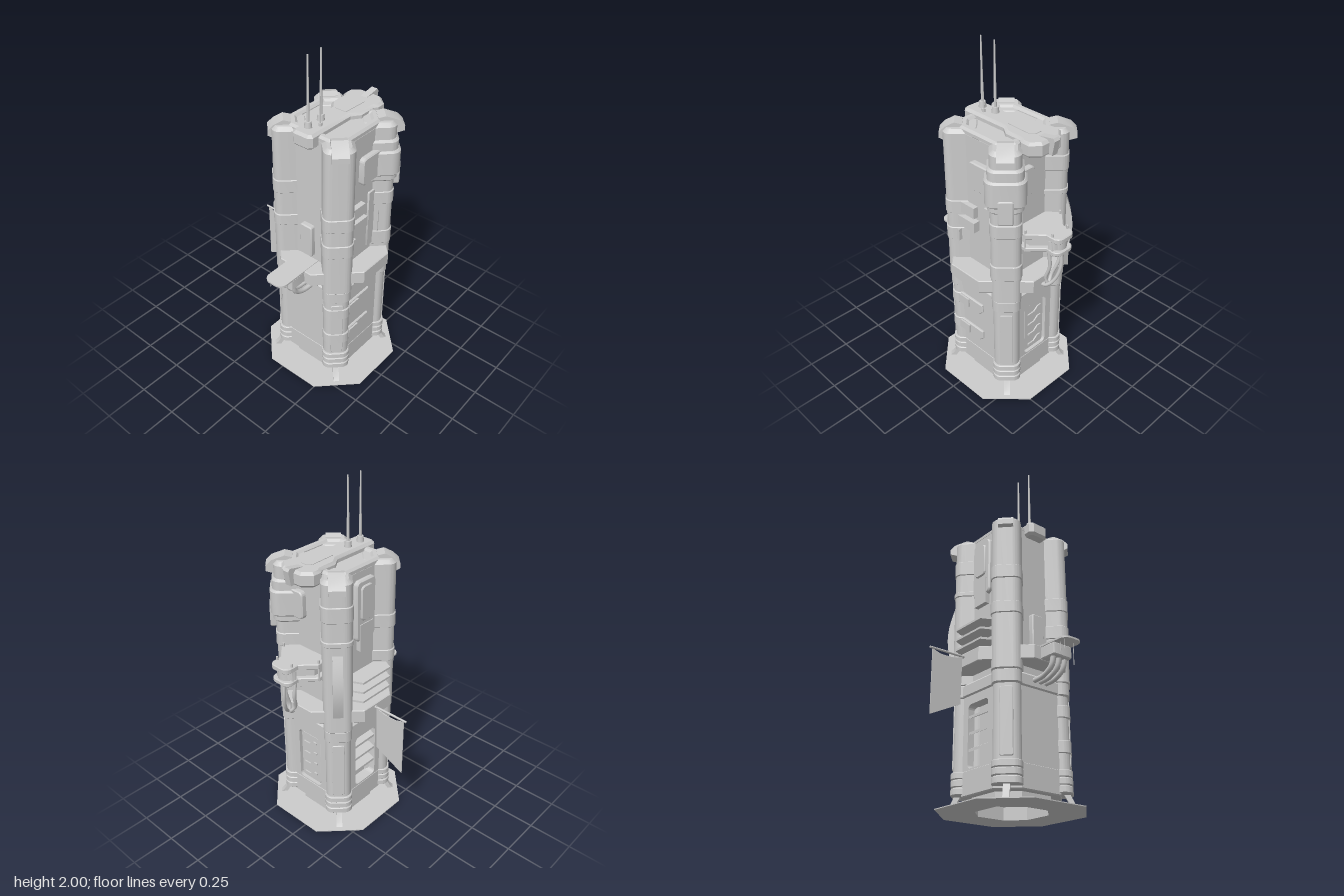
import * as THREE from 'three';
import { toCreasedNormals } from 'three/addons/utils/BufferGeometryUtils.js';

const mat = new THREE.MeshStandardMaterial({ color: 0xcccccc, side: THREE.DoubleSide });

function add(parent, name, geo) {
  const m = new THREE.Mesh(geo, mat);
  m.name = name;
  parent.add(m);
}
function group(parent, name, angle) {
  const g = new THREE.Group();
  g.name = name;
  g.rotation.y = angle;
  parent.add(g);
  return g;
}
const poly = pts => new THREE.Shape(pts.map(p => new THREE.Vector2(p[0], p[1])));
// Square with cut corners: a = distance to a face, h = half width of a face
const oct = (a, h) => poly([[h, a], [-h, a], [-a, h], [-a, -h], [-h, -a], [h, -a], [a, -h], [a, h]]);
function octRing(a, h, a2, h2) {
  const s = oct(a, h);
  s.holes.push(oct(a2, h2));
  return s;
}
function rounded(x0, y0, x1, y1, r) {
  const s = new THREE.Shape();
  s.absarc(x1 - r, y1 - r, r, 0, Math.PI / 2);
  s.absarc(x0 + r, y1 - r, r, Math.PI / 2, Math.PI);
  s.absarc(x0 + r, y0 + r, r, Math.PI, Math.PI * 1.5);
  s.absarc(x1 - r, y0 + r, r, Math.PI * 1.5, Math.PI * 2);
  s.closePath();
  return s;
}
function extrude(shape, depth, bevel) {
  return toCreasedNormals(new THREE.ExtrudeGeometry(shape, {
    depth: depth - 2 * bevel, bevelEnabled: bevel > 0, bevelSize: bevel, bevelThickness: bevel,
    bevelOffset: -bevel, bevelSegments: 1, curveSegments: 6
  }), 0.5);
}
// Plan outline (x, z) raised from y0 to y1
const prism = (shape, y0, y1, b = 0) => extrude(shape, y1 - y0, b).rotateX(Math.PI / 2).translate(0, y1 - b, 0);
// Wall outline (x, y) standing out from z0 to z1
const panel = (shape, z0, z1, b = 0) => extrude(shape, z1 - z0, b).translate(0, 0, z0 + b);
// Side profile (z, y) of width w about x
const profile = (pts, w, x = 0) => extrude(poly(pts), w, 0).rotateY(-Math.PI / 2).translate(x + w / 2, 0, 0);
const box = (x0, x1, y0, y1, z0, z1) =>
  new THREE.BoxGeometry(x1 - x0, y1 - y0, z1 - z0).translate((x0 + x1) / 2, (y0 + y1) / 2, (z0 + z1) / 2);
const rod = (x, y0, y1, z, r0, r1 = r0, n = 10) =>
  new THREE.CylinderGeometry(r1, r0, y1 - y0, n).translate(x, (y0 + y1) / 2, z);
const tube = (pts, r) =>
  new THREE.TubeGeometry(new THREE.CatmullRomCurve3(pts.map(p => new THREE.Vector3(...p))), 20, r, 8);

export function createModel() {
  const model = new THREE.Group();
  model.name = 'tower';
  const t = group(model, 'towerBody', 0);
  t.position.set(0.03, 0, 0.08);

  // Ground plate with an open centre, and the hollow stem
  add(t, 'groundPlate', prism(octRing(0.364, 0.17, 0.19, 0.09), 0, 0.005));
  add(t, 'stem', prism(octRing(0.19, 0.095, 0.175, 0.085), 0, 0.11));

  // Core, with a raised rim around the sunken roof
  add(t, 'lowerCore', prism(oct(0.165, 0.1), 0.1, 0.62));
  add(t, 'skirt', prism(oct(0.23, 0.13), 0.07, 0.205, 0.006));
  add(t, 'waist', prism(oct(0.236, 0.13), 0.6, 0.68, 0.012));
  add(t, 'upperCore', prism(oct(0.2, 0.13), 0.62, 1.57));
  add(t, 'roofRim', prism(octRing(0.2, 0.13, 0.155, 0.11), 1.56, 1.602, 0.012));
  add(t, 'roofFloor', prism(oct(0.16, 0.115), 1.56, 1.585));
  add(t, 'collar', prism(oct(0.315, 0.108), 0.73, 0.81, 0.004));

  // Four corner columns, each built facing +z then turned onto a diagonal
  const col = (w, r, c = 0.045) => rounded(-w, 0.13, w, r, c);
  const bands = [
    [[1.1, 1.18], [0.83, 0.92]],
    [[1.36, 1.45], [1.22, 1.25]],
    [[1.2, 1.28], [0.99, 1.06]],
    [[1.1, 1.18], [0.93, 1.01], [0.48, 0.55], [0.29, 0.36]]
  ];
  const columns = bands.map((list, k) => {
    const c = group(t, 'column', Math.PI / 4 + k * Math.PI / 2);
    add(c, 'columnLower', prism(col(0.072, 0.306), 0.1, 0.62));
    add(c, 'columnUpper', prism(col(0.081, 0.32), 0.66, 1.59, 0.02));
    add(c, 'columnJoint', prism(col(0.078, 0.315), 0.6, 0.68, 0.008));
    for (const y of [0.085, 0.127, 0.167]) add(c, 'footRing', prism(col(0.078, 0.317), y, y + 0.037, 0.004));
    list.forEach(([a, b]) => {
      const d = a < 0.6 ? 0.01 : 0;
      add(c, 'band', prism(col(0.085 - d, 0.325 - d), a, b, 0.004));
    });
    add(c, 'facePlate', panel(rounded(-0.035, 0.22, 0.035, 0.58, 0.01), 0.29, 0.312, 0.003));
    const r = k < 2 ? 0.36 : 0.34;
    add(c, 'capClip', profile([[0.22, 1.57], [0.22, 1.605], [0.26, 1.615], [r - 0.03, 1.59], [r, 1.56],
      [r, 1.53], [0.31, 1.515], [0.3, 1.55]], 0.085));
    add(c, 'leg', profile([[0.255, 0.11], [0.29, 0.11], [0.33, 0.025], [0.35, 0.005], [0.315, 0.005], [0.3, 0.03]], 0.034));
    return c;
  });

  // Heavy wrap on the front left column
  add(columns[0], 'wrap', prism(col(0.106, 0.345, 0.055), 1.29, 1.44, 0.01));
  add(columns[0], 'wrapCore', prism(col(0.093, 0.333, 0.05), 1.25, 1.5, 0.012));
  add(columns[0], 'wrapClip', panel(rounded(-0.04, 1.2, 0.04, 1.34, 0.012), 0.3, 0.353, 0.006));

  // Bowed fairing on the rear left column
  const bow = [[0.29, 0.75]];
  for (let i = 0; i <= 12; i++) bow.push([0.31 + 0.05 * Math.sin(Math.PI * i / 12), 0.75 + 0.45 * i / 12]);
  bow.push([0.29, 1.2]);
  add(columns[1], 'bowedFairing', profile(bow, 0.055));

  // Four walls: 0 front, 1 left, 2 back, 3 right, each facing its own +z
  const [front, left, back, right] = [0, 1, 2, 3].map(k => {
    const w = group(t, 'wall', k * Math.PI / 2);
    const frame = poly([[-0.13, 0.2], [0.13, 0.2], [0.13, 0.61], [-0.13, 0.61]]);
    if (k % 3) frame.holes.push(rounded(-0.085, 0.21, 0.085, 0.555, 0.025));
    add(w, 'lowerWall', panel(frame, 0.15, 0.228));
    return w;
  });

  // Front wall fittings
  for (const y of [0.48, 0.285]) {
    add(front, 'lowerBracket', panel(poly([[-0.17, y], [0.02, y], [0.045, y + 0.025], [0.045, y + 0.075], [-0.17, y + 0.075]]), 0.2, 0.24, 0.005));
    add(front, 'bracketBlock', box(-0.14, -0.06, y + 0.01, y + 0.065, 0.22, 0.25));
  }
  add(front, 'strapBlock', box(-0.18, -0.01, 1.11, 1.175, 0.19, 0.23));
  add(front, 'smallBlock', box(-0.13, 0.0, 1.03, 1.09, 0.19, 0.24));
  add(front, 'nozzleBlock', box(-0.19, -0.11, 0.935, 1.005, 0.18, 0.25));
  add(front, 'tallPanel', panel(rounded(0.045, 0.84, 0.13, 1.2, 0.008), 0.19, 0.21, 0.003));
  add(front, 'sideClip', box(0.11, 0.155, 0.83, 1.06, 0.18, 0.23));
  add(front, 'wrapPlate', panel(rounded(-0.04, 1.29, 0.16, 1.45, 0.025), 0.19, 0.23, 0.006));
  add(left, 'wrapPlate', panel(rounded(-0.16, 1.29, -0.02, 1.45, 0.025), 0.19, 0.23, 0.006));

  // Left wall: inset door with ribs
  add(left, 'door', panel(rounded(-0.08, 0.215, 0.08, 0.55, 0.025), 0.16, 0.218, 0.008));
  for (let i = 0; i < 4; i++) {
    const y = 0.25 + i * 0.075;
    add(left, 'doorRib', panel(poly([[-0.05, y], [0, y], [0.03, y + 0.025], [0.05, y + 0.025], [0.05, y + 0.035],
      [0.025, y + 0.035], [-0.005, y + 0.01], [-0.05, y + 0.01]]), 0.21, 0.226));
  }

  // Left platform: two plates, a drum, posts and hanging pipes
  const deck = grow => {
    const s = new THREE.Shape();
    s.moveTo(-0.14 - grow, 0.18);
    s.lineTo(0.14 + grow, 0.18);
    s.lineTo(0.14 + grow, 0.28);
    s.lineTo(0.066 + grow, 0.355);
    s.absarc(0.026, 0.4 + grow, 0.04, 0, Math.PI / 2);
    s.absarc(-0.026, 0.4 + grow, 0.04, Math.PI / 2, Math.PI);
    s.lineTo(-0.066 - grow, 0.355);
    s.lineTo(-0.14 - grow, 0.28);
    return s;
  };
  add(left, 'platformTop', prism(deck(0), 1.08, 1.11, 0.004));
  add(left, 'platformMiddle', prism(deck(-0.03), 1.03, 1.08));
  add(left, 'platformBottom', prism(deck(-0.004), 1.0, 1.025, 0.004));
  add(left, 'platformDrum', rod(0, 1.025, 1.08, 0.375, 0.05, 0.05, 16));
  for (const x of [-0.132, -0.055, 0.055, 0.132])
    add(left, 'post', rod(x, 1.0, 1.13, Math.abs(x) > 0.1 ? 0.27 : 0.39, 0.006));
  [[-0.045, -0.03], [0.0, -0.04], [0.04, -0.025]].forEach(([x, e], i) => {
    const z = 0.355 + (i % 2) * 0.045;
    add(left, 'pipe', tube([[x, 1.01, z], [x * 0.8, 0.9, z + 0.005], [(x + e) / 2, 0.81, z - 0.02],
      [e, 0.765, 0.34], [e, 0.755, 0.3]], 0.01));
  });

  // Back wall: alcove shelves, awnings, hatch
  for (const y of [0.3, 0.39, 0.48])
    add(back, 'shelf', profile([[0.16, y + 0.03], [0.222, y], [0.222, y + 0.015], [0.16, y + 0.045]], 0.17));
  for (const y of [0.86, 0.92, 0.98])
    add(back, 'awning', prism(poly([[-0.17, 0.18], [0.17, 0.18], [0.11, 0.305], [-0.11, 0.305]]), y - 0.006, y + 0.006));
  add(back, 'hatch', panel(rounded(-0.075, 1.18, 0.075, 1.53, 0.03), 0.19, 0.223, 0.008));
  add(back, 'hatchLid', panel(rounded(-0.045, 1.3, 0.045, 1.5, 0.025), 0.2, 0.232, 0.006));
  add(back, 'hatchBase', box(-0.05, 0.05, 1.12, 1.28, 0.19, 0.228));

  // Back flag on its rod
  add(back, 'flagRod', rod(-0.02, 0.3, 0.53, 0, 0.007, 0.006).rotateX(Math.PI / 2).translate(0, 0.79, 0));
  add(back, 'flagSocket', rod(-0.02, 0.3, 0.325, 0, 0.009).rotateX(Math.PI / 2).translate(0, 0.79, 0));
  add(back, 'flag', profile([[0.325, 0.785], [0.33, 0.52], [0.515, 0.43], [0.515, 0.785], [0.46, 0.768], [0.38, 0.768]], 0.004, -0.02));

  // Right balcony with pipes and dangling wires, and a control box above
  add(right, 'balconyPlate', prism(rounded(-0.065, 0.15, 0.065, 0.5, 0.045), 0.803, 0.813));
  add(right, 'balconyBox', prism(rounded(-0.063, 0.15, 0.063, 0.415, 0.008), 0.735, 0.805, 0.006));
  for (const x of [-0.04, 0, 0.04])
    add(right, 'balconyPipe', tube([[x, 0.75, 0.385], [x, 0.69, 0.365], [x, 0.655, 0.31], [x, 0.645, 0.22]], 0.014));
  [[-0.04, 0.47, 0.75], [0.03, 0.46, 0.68], [0.05, 0.44, 0.77], [-0.03, 0.43, 0.74]].forEach(([x, z, y]) =>
    add(right, 'wire', rod(x, y, 0.805, z, 0.002, 0.002, 5)));
  add(right, 'controlBox', panel(rounded(-0.04, 0.84, 0.04, 1.04, 0.012), 0.19, 0.23, 0.006));

  // Roof beam with a wide head, hook and antennas
  const half = [[-0.26, 0.045], [-0.24, 0.065], [0.05, 0.065], [0.1, 0.1], [0.2, 0.1], [0.22, 0.115], [0.27, 0.115], [0.315, 0.065]];
  const mirror = half.map(([x, z]) => [x, -z]).reverse();
  add(t, 'roofBeam', prism(poly([...half, ...mirror]), 1.535, 1.618, 0.014));
  add(t, 'beamInset', prism(poly([[0.05, -0.035], [0.2, -0.04], [0.225, -0.02], [0.225, 0.02], [0.2, 0.04], [0.05, 0.035]]), 1.61, 1.621));
  add(left, 'hook', profile([[0.23, 1.615], [0.34, 1.635], [0.35, 1.62], [0.335, 1.54], [0.315, 1.54], [0.315, 1.6], [0.23, 1.6]], 0.038));
  for (const x of [-0.187, -0.09]) {
    add(t, 'antennaBase', rod(x, 1.61, 1.65, -0.012, 0.022, 0.017, 12));
    add(t, 'antenna', rod(x, 1.64, 2, -0.012, 0.008, 0.004));
  }
  add(t, 'shortAntennaBase', rod(-0.138, 1.61, 1.635, 0.025, 0.01));
  add(t, 'shortAntenna', rod(-0.138, 1.62, 1.78, 0.025, 0.004, 0.002));
  return model;
}
